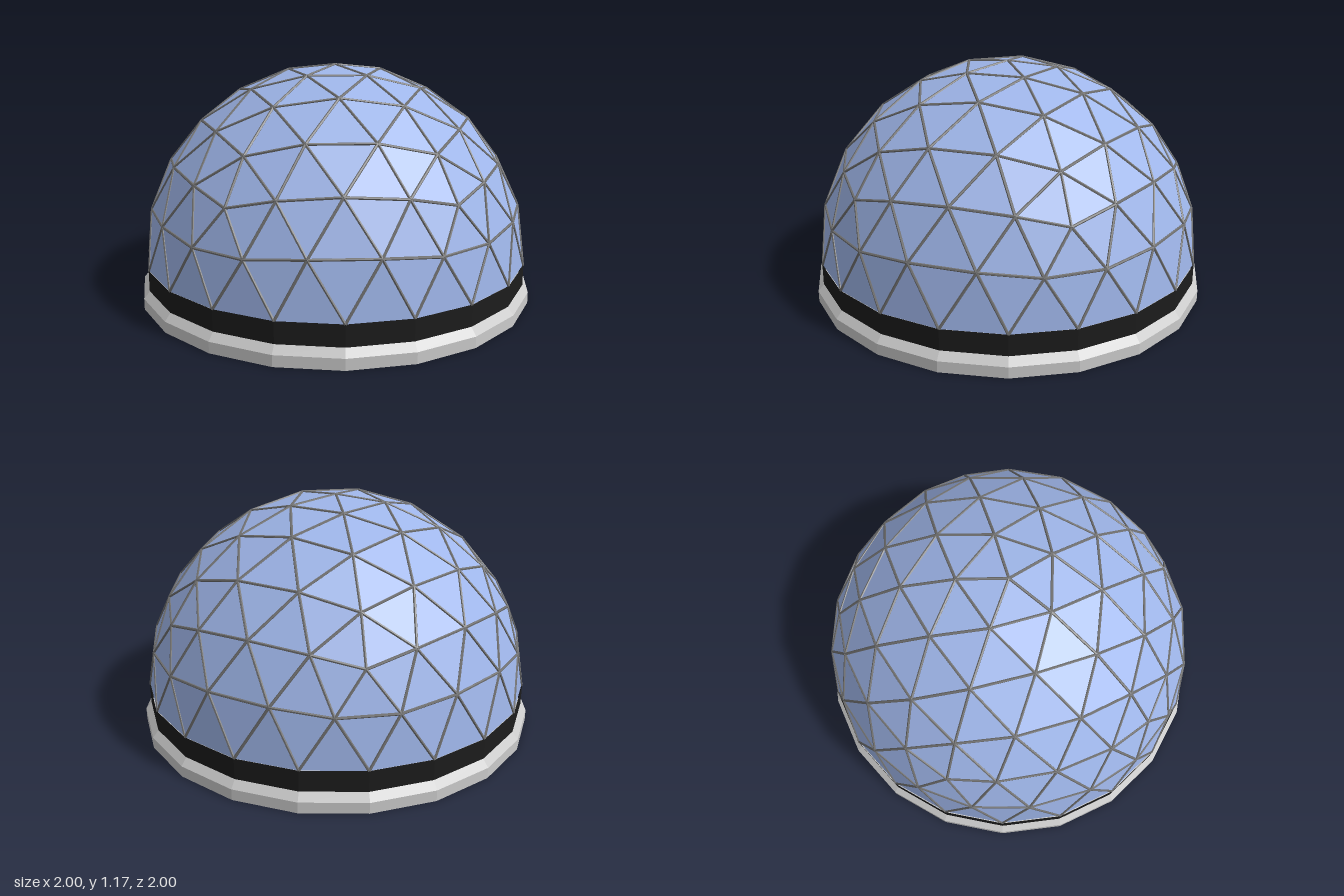
import * as THREE from 'three';
import { mergeGeometries } from 'three/addons/utils/BufferGeometryUtils.js';

const RADIUS = 0.967, SPRING = 0.195, SIDES = 20;

const material = (color, side = THREE.FrontSide) =>
  new THREE.MeshStandardMaterial({ color, flatShading: true, side });

function addMesh(group, name, geometry, mat) {
  const mesh = new THREE.Mesh(geometry, mat);
  mesh.name = name;
  group.add(mesh);
  return mesh;
}

// Upper-half triangles of a four-frequency geodesic sphere, one corner at the pole
function domeTriangles() {
  const sphere = new THREE.IcosahedronGeometry(RADIUS, 3);
  sphere.rotateZ(-Math.atan2(2, 1 + Math.sqrt(5)));
  const pos = sphere.toNonIndexed?.call && sphere.index ? sphere.toNonIndexed().attributes.position : sphere.attributes.position;
  const triangles = [];
  for (let i = 0; i < pos.count; i += 3) {
    const tri = [0, 1, 2].map(k => new THREE.Vector3().fromBufferAttribute(pos, i + k));
    if (tri[0].y + tri[1].y + tri[2].y > 0.01) triangles.push(tri);
  }
  return triangles;
}

// Slim hexagonal bar between two points
function bar(a, b, radius) {
  const dir = b.clone().sub(a);
  const g = new THREE.CylinderGeometry(radius, radius, dir.length(), 6);
  g.applyQuaternion(new THREE.Quaternion().setFromUnitVectors(new THREE.Vector3(0, 1, 0), dir.normalize()));
  const mid = a.clone().add(b).multiplyScalar(0.5);
  return g.translate(mid.x, mid.y, mid.z);
}

export function createModel() {
  const model = new THREE.Group();
  model.name = 'geodesicDome';
  const triangles = domeTriangles();

  // Glazing
  const panels = new THREE.BufferGeometry().setFromPoints(triangles.flat());
  panels.computeVertexNormals();
  addMesh(model, 'glassPanels', panels, material(0x9fb6ea, THREE.DoubleSide)).position.y = SPRING;

  // Struts along every shared edge above the ring wall
  const edges = new Map();
  const key = v => v.toArray().map(n => Math.round(n * 1000) + 0).join();
  for (const tri of triangles) {
    for (let k = 0; k < 3; k++) {
      const a = tri[k], b = tri[(k + 1) % 3];
      if (a.y + b.y > 0.01) edges.set([key(a), key(b)].sort().join('|'), [a, b]);
    }
  }
  const struts = mergeGeometries([...edges.values()].map(([a, b]) => bar(a, b, 0.007)));
  addMesh(model, 'struts', struts, material(0x707070)).position.y = SPRING;

  // Dark ring wall under the dome
  const wall = new THREE.CylinderGeometry(0.971, 0.971, 0.105, SIDES, 1, true);
  addMesh(model, 'ringWall', wall, material(0x1c1c1c, THREE.DoubleSide)).position.y = 0.1445;

  // Foundation slab with a chamfered top edge
  const slab = new THREE.CylinderGeometry(1, 1, 0.055, SIDES);
  addMesh(model, 'foundation', slab, material(0xcccccc)).position.y = 0.0275;
  const chamfer = new THREE.CylinderGeometry(0.968, 1, 0.038, SIDES);
  addMesh(model, 'foundationChamfer', chamfer, material(0xcccccc)).position.y = 0.074;

  return model;
}
